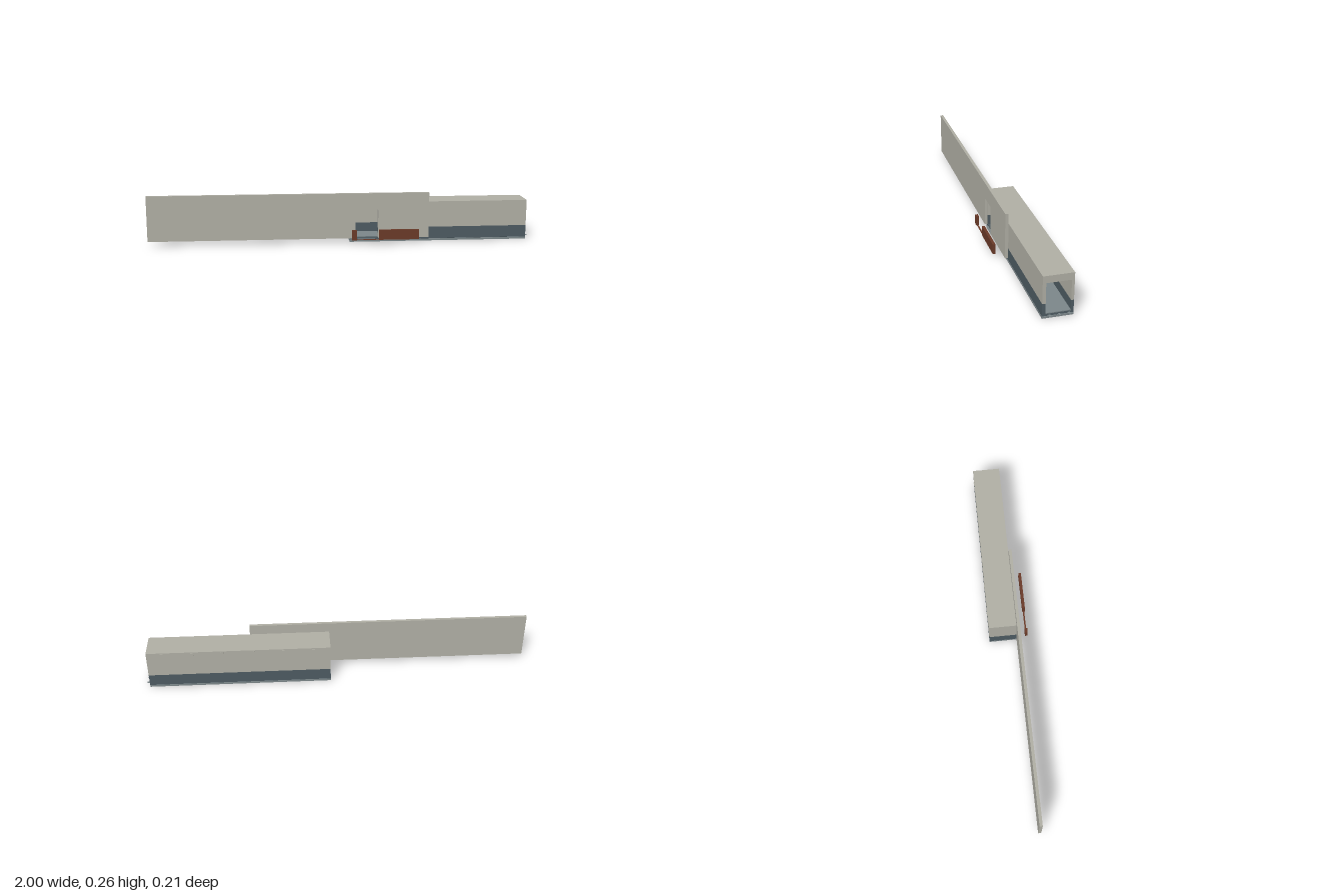
import * as THREE from 'three';

const mat = (name, color) => {
  const m = new THREE.MeshStandardMaterial({ color });
  m.name = name;
  return m;
};

export function createModel() {
  const plaster = mat('warm grey panel', 0xb0afa5);
  const slate = mat('slate blue wainscot', 0x4d5b62);
  const steel = mat('grey steel', 0x7c878a);
  const under = mat('dark underside', 0x3c484d);
  const brown = mat('brown barrier', 0x6a3a28);

  const root = new THREE.Group();
  root.name = 'corridorWithWall';

  // Box given by its limits on each axis
  const box = (parent, name, m, x0, x1, y0, y1, z0, z1) => {
    const mesh = new THREE.Mesh(new THREE.BoxGeometry(x1 - x0, y1 - y0, z1 - z0), m);
    mesh.position.set((x0 + x1) / 2, (y0 + y1) / 2, (z0 + z1) / 2);
    mesh.name = name;
    parent.add(mesh);
  };
  const group = (name) => {
    const g = new THREE.Group();
    g.name = name;
    root.add(g);
    return g;
  };

  const X0 = 0.045, X1 = 0.985, ZF = 0.043, ZB = -0.102;
  const IN_F = 0.027, IN_B = -0.089, CEIL = 0.175, BAND = 0.074, FLOOR = 0.022;
  const DOOR0 = 0.075, DOOR1 = 0.193;

  // Corridor walls: slate below, plaster above, doorway in the front wall
  const corridor = group('corridor');
  for (const [name, m, y0, y1] of [['wainscot', slate, FLOOR, BAND], ['upperWall', plaster, BAND, CEIL]]) {
    box(corridor, name + 'Back', m, X0, X1, y0, y1, ZB, IN_B);
    box(corridor, name + 'FrontNearDoor', m, X0, DOOR0, y0, y1, IN_F, ZF);
    box(corridor, name + 'Front', m, DOOR1, X1, y0, y1, IN_F, ZF);
    box(corridor, name + 'End', m, X0, X0 + 0.015, y0, y1, IN_B, IN_F);
  }
  box(corridor, 'ceiling', plaster, X0, X1, CEIL, 0.203, ZB, ZF);
  box(corridor, 'roofCap', plaster, X0, X1, 0.203, 0.21, ZB, ZF);

  // Small clips high on the back wall
  for (let i = 0; i < 6; i++) {
    const x = X0 + 0.08 + i * 0.155;
    box(corridor, 'wallClip', plaster, x, x + 0.015, 0.19, 0.204, -0.105, ZB);
  }

  // Ceiling light with a tapered section
  const lamp = new THREE.Shape([
    new THREE.Vector2(-0.025, CEIL), new THREE.Vector2(-0.02, 0.167),
    new THREE.Vector2(0.02, 0.167), new THREE.Vector2(0.025, CEIL)]);
  const light = new THREE.Mesh(
    new THREE.ExtrudeGeometry(lamp, { depth: 0.78, bevelEnabled: false }), slate);
  light.rotation.y = Math.PI / 2;
  light.position.set(0.13, 0, -0.031);
  light.name = 'ceilingLight';
  corridor.add(light);

  // Floor and base
  const base = group('base');
  box(base, 'floor', slate, X0, X1, 0.012, FLOOR, ZB, ZF);
  box(base, 'floorFinish', steel, X0 + 0.015, X1, FLOOR, 0.026, IN_B, IN_F);
  box(base, 'baseTray', under, X0 + 0.005, X1 - 0.003, 0.002, 0.012, ZB + 0.005, ZF - 0.005);
  box(base, 'sideRailFront', steel, X0, X1, 0, 0.01, ZF - 0.006, ZF);
  box(base, 'sideRailBack', steel, X0, X1, 0, 0.01, ZB, ZB + 0.006);
  for (let i = 0; i <= 4; i++) {
    const x = X0 + i * (X1 - X0 - 0.006) / 4;
    box(base, 'crossRail', steel, x, x + 0.006, 0, 0.01, ZB + 0.006, ZF - 0.006);
  }

  // Sills at the doorway and the open end
  box(base, 'doorSill', steel, 0.085, 0.178, 0.012, 0.016, ZF, 0.054);
  for (const z of [-0.08, -0.035, 0.01])
    box(base, 'endBracket', steel, X1, 1, 0.012, 0.016, z - 0.005, z + 0.005);

  // Long wall with a round-cornered doorway notch
  const r = 0.008;
  const s = new THREE.Shape();
  s.moveTo(-1, 0.023);
  s.lineTo(DOOR0, 0.023);
  s.lineTo(DOOR0, CEIL - r);
  s.quadraticCurveTo(DOOR0, CEIL, DOOR0 + r, CEIL);
  s.lineTo(DOOR1 - r, CEIL);
  s.quadraticCurveTo(DOOR1, CEIL, DOOR1, CEIL - r);
  s.lineTo(DOOR1, 0.023);
  s.lineTo(0.46, 0.023);
  s.lineTo(0.46, 0.261);
  s.lineTo(-1, 0.261);
  const wall = new THREE.Mesh(
    new THREE.ExtrudeGeometry(s, { depth: 0.0155, bevelEnabled: false, curveSegments: 4 }), plaster);
  wall.position.z = 0.0435;
  wall.name = 'longWall';
  root.add(wall);

  // Low barrier with a gap at the doorway
  const barrier = group('barrier');
  box(barrier, 'barrierPost', brown, 0.052, 0.077, 0.023, 0.075, 0.091, 0.105);
  box(barrier, 'barrierPanel', brown, DOOR1, 0.402, 0.023, 0.075, 0.091, 0.105);
  box(barrier, 'barrierThreshold', brown, 0.077, DOOR1, 0.023, 0.025, 0.094, 0.102);

  return root;
}
